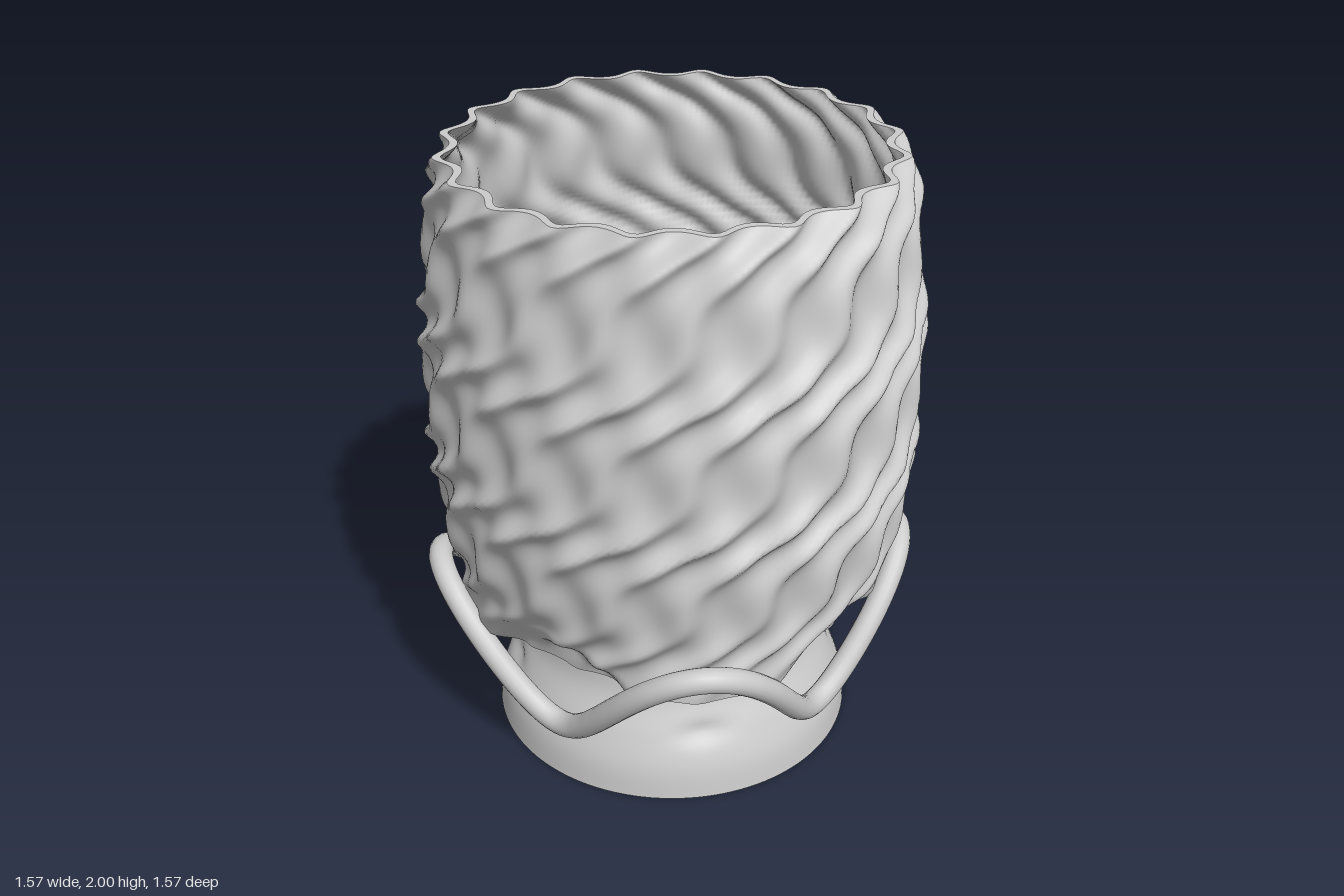
import * as THREE from 'three';

const TAU = Math.PI * 2;
const rad = THREE.MathUtils.degToRad;
const mix = THREE.MathUtils.lerp;
const smooth = THREE.MathUtils.smoothstep;
const material = new THREE.MeshStandardMaterial({ color: 0xcccccc });
const curve = (pts) => new THREE.SplineCurve(pts.map(([r, y]) => new THREE.Vector2(r, y)));
// Angle measured from the middle of the nearest quarter (front, back or side)
const quarterAngle = (a) => a - Math.round(a / (TAU / 4)) * (TAU / 4);

// Closed ring of quads: fn(angle, v) gives [radius, height]; angle 0 is the front.
// Upward profiles face outward, downward ones face the axis.
function ringSurface(name, nU, nV, fn) {
  const pos = [], index = [];
  for (let j = 0; j <= nV; j++) {
    for (let i = 0; i < nU; i++) {
      const a = (i / nU) * TAU;
      const [r, y] = fn(a, j / nV);
      pos.push(r * Math.sin(a), y, r * Math.cos(a));
      if (j === nV) continue;
      const p = j * nU + i, q = j * nU + ((i + 1) % nU);
      index.push(p, q, q + nU, p, q + nU, p + nU);
    }
  }
  const g = new THREE.BufferGeometry();
  g.setAttribute('position', new THREE.Float32BufferAttribute(pos, 3));
  g.setIndex(index);
  g.computeVertexNormals();
  const mesh = new THREE.Mesh(g, material);
  mesh.name = name;
  return mesh;
}

// Bowl: barrel profile, twisted ridges broken into scales, arched dents at the foot
const BOTTOM = 0.465, TOP = 2, WALL = 0.026, ROW = 0.45, RIDGES = 20;
const barrel = curve([
  [0.675, BOTTOM], [0.695, 0.62], [0.74, 0.8], [0.76, 1.05],
  [0.767, 1.35], [0.75, 1.6], [0.728, 1.82], [0.705, 1.93], [0.675, TOP],
]);

function bowlPoint(a, v) {
  const { x, y } = barrel.getPoint(v);
  const row = (TAU * (y - 1.05)) / ROW;
  const twist = rad(1.5 + 80 * (y - 1.05) + 4.2 * Math.sin(row));
  const phase = RIDGES * (a - twist);
  const fade = smooth(y, 0.42, 0.8);
  const ridge = 0.018 * Math.cos(phase + 0.35 * Math.sin(phase)) * (0.35 + 0.65 * fade);
  const scales = -0.006 * Math.cos(RIDGES * a + row) * fade;
  const step = 0.006 * Math.cos(row) * fade;
  const corners = -0.02 * Math.cos(4 * a) * (1 - fade);
  const arch = 0.6 - 0.14 * (quarterAngle(a) / 0.4) ** 2;
  const dent = -0.065 * smooth(arch - y, -0.04, 0.07);
  return [x + ridge + scales + step + corners + dent, y];
}

function bowl() {
  const g = new THREE.Group();
  g.name = 'bowl';
  const hole = 0.15, floorY = 0.5, vFloor = 0.02;
  const inner = (a, v) => {
    const [r, y] = bowlPoint(a, v);
    return [r - WALL, y];
  };
  g.add(
    ringSurface('bowlOuterWall', 240, 125, bowlPoint),
    ringSurface('bowlRim', 240, 1, (a, v) => [bowlPoint(a, 1)[0] - v * WALL, TOP]),
    ringSurface('bowlInnerWall', 240, 90, (a, v) => inner(a, mix(1, vFloor, v))),
    ringSurface('bowlFloor', 240, 2, (a, v) => {
      const [r, y] = inner(a, vFloor);
      return [mix(r, hole + 0.015, v), mix(y, floorY, v)];
    }),
    ringSurface('floorHoleBevel', 64, 1, (a, v) => [hole + 0.015 * (1 - v), floorY - 0.015 * v]),
    ringSurface('floorHole', 64, 1, (a, v) => [hole, mix(floorY - 0.015, 0.44, v)]),
    ringSurface('bowlUnderside', 240, 1, (a, v) => [mix(0.45, bowlPoint(a, 0)[0], v), BOTTOM]),
  );
  return g;
}

// Base: flared hollow skirt with four shallow dimples on the diagonals
function base() {
  const g = new THREE.Group();
  g.name = 'base';
  const skirt = curve([[0.6, 0], [0.585, 0.1], [0.545, 0.2], [0.495, 0.3], [0.478, 0.38], [0.47, BOTTOM]]);
  const lining = curve([[0.44, 0.44], [0.45, 0.36], [0.47, 0.28], [0.515, 0.18], [0.55, 0.1], [0.565, 0]]);
  g.add(
    ringSurface('baseOuter', 128, 32, (a, v) => {
      const p = skirt.getPoint(v);
      const da = quarterAngle(a + TAU / 8) / 0.14;
      const dy = (p.y - 0.21) / 0.03;
      return [p.x - 0.02 * Math.exp(-da * da - dy * dy), p.y];
    }),
    ringSurface('baseCeiling', 96, 1, (a, v) => [0.15 + 0.29 * v, 0.44]),
    ringSurface('baseLining', 96, 24, (a, v) => {
      const p = lining.getPoint(v);
      return [p.x, p.y];
    }),
    ringSurface('baseEdge', 96, 1, (a, v) => [0.565 + 0.035 * v, 0]),
  );
  return g;
}

// Wavy ring: low near front, back and sides, high and wide near the diagonals
function wavyRing() {
  const pts = [];
  for (let i = 0; i < 64; i++) {
    const a = (i / 64) * TAU;
    const wave = Math.cos(4 * a);
    const r = 0.682 - 0.088 * wave;
    pts.push(new THREE.Vector3(r * Math.sin(a), 0.41 - 0.2 * wave, r * Math.cos(a)));
  }
  const path = new THREE.CatmullRomCurve3(pts, true);
  const mesh = new THREE.Mesh(new THREE.TubeGeometry(path, 240, 0.04, 16, true), material);
  mesh.name = 'wavyRing';
  mesh.rotation.y = rad(-3.4);
  return mesh;
}

export function createModel() {
  const model = new THREE.Group();
  model.name = 'planter';
  model.add(bowl(), base(), wavyRing());
  return model;
}
